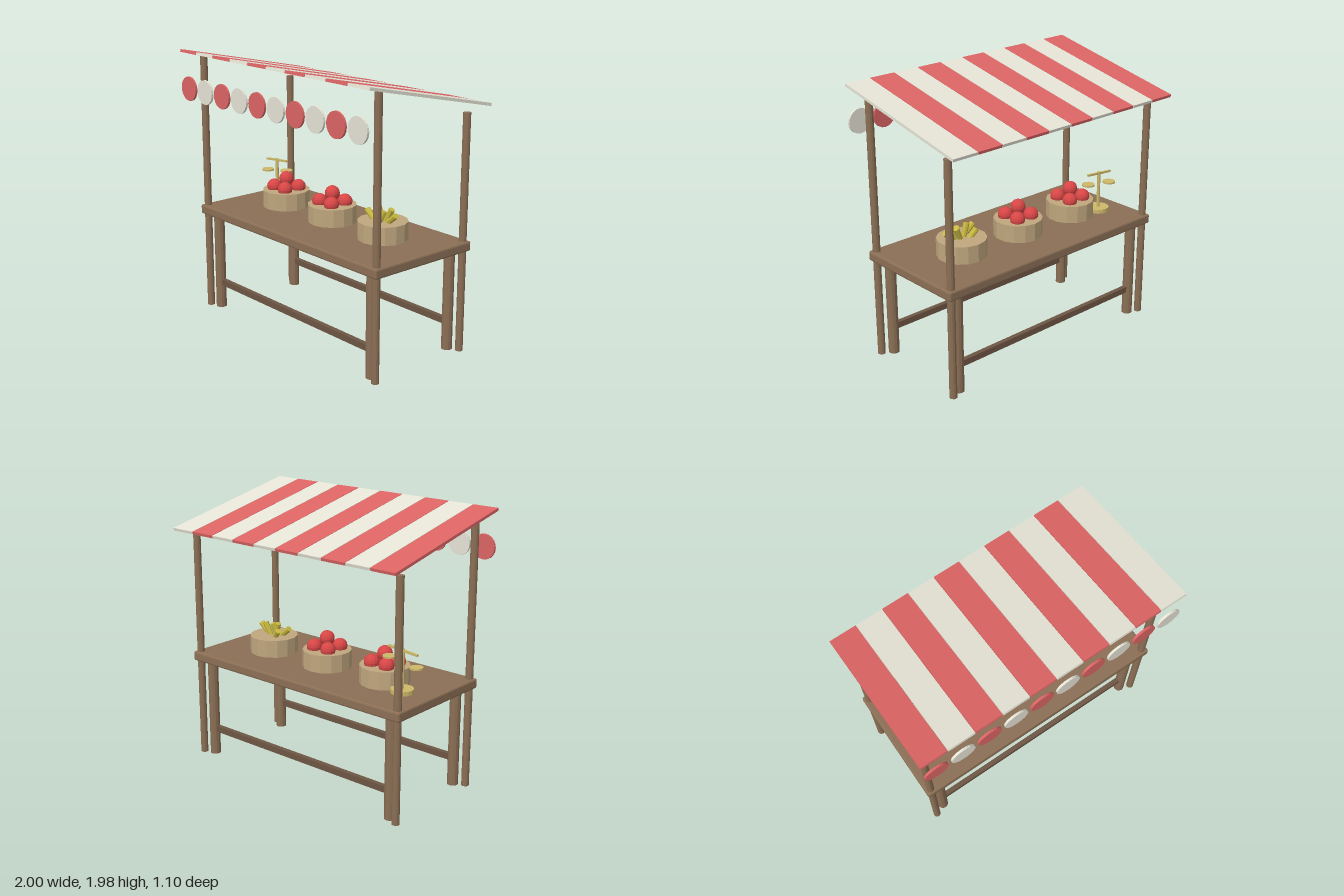
import * as THREE from 'three';
import { RoundedBoxGeometry } from 'three/addons/geometries/RoundedBoxGeometry.js';

const mat = (color) => new THREE.MeshStandardMaterial({ color, flatShading: true });
const wood = mat(0x8b6f55);
const darkWood = mat(0x6e5644);
const red = mat(0xdc6464);
const cream = mat(0xe6e4d6);
const wicker = mat(0xbfa67e);
const fruitRed = mat(0xd84646);
const yellow = mat(0xc9b93f);
const brass = mat(0xcdb86a);

function add(parent, name, geometry, material, x = 0, y = 0, z = 0) {
  const mesh = new THREE.Mesh(geometry, material);
  mesh.name = name;
  mesh.position.set(x, y, z);
  parent.add(mesh);
  return mesh;
}

// Upright cylinder between two heights
function column(parent, name, material, r, y0, y1, x, z, sides = 12) {
  const geometry = new THREE.CylinderGeometry(r, r, y1 - y0, sides);
  return add(parent, name, geometry, material, x, (y0 + y1) / 2, z);
}

function group(parent, name, x = 0, y = 0, z = 0) {
  const g = new THREE.Group();
  g.name = name;
  g.position.set(x, y, z);
  parent.add(g);
  return g;
}

function addTable(parent) {
  const table = group(parent, 'table');
  add(table, 'tableTop', new RoundedBoxGeometry(1.92, 0.07, 0.88, 1, 0.012), wood, 0, 0.765, 0);
  for (const side of [1, -1]) {
    const end = side > 0 ? 'front' : 'back';
    for (const x of [-0.84, 0.84]) column(table, end + 'Leg', wood, 0.039, 0, 0.74, x, side * 0.36);
    add(table, end + 'Stretcher', new THREE.BoxGeometry(1.66, 0.045, 0.035), darkWood, 0, 0.203, side * 0.36);
  }
}

function addAwning(parent) {
  const awning = group(parent, 'awning');
  for (const x of [-0.92, 0.92]) {
    column(awning, 'frontPost', wood, 0.027, 0, 1.925, x, 0.4);
    column(awning, 'backPost', wood, 0.027, 0, 1.685, x, -0.4);
  }
  // Sloping striped roof with a row of hanging discs
  const roof = group(awning, 'roof', 0, 1.847, 0);
  roof.rotation.x = -0.213;
  for (let i = 0; i < 10; i++) {
    const x = -0.9 + i * 0.2;
    const color = i % 2 ? cream : red;
    add(roof, 'roofStripe', new THREE.BoxGeometry(0.196, 0.02, 1.12), color, x);
    const disc = add(awning, 'valanceDisc', new THREE.CylinderGeometry(0.088, 0.088, 0.016, 20), color, x, 1.7, 0.545);
    disc.rotation.x = Math.PI / 2;
  }
}

function addBasket(parent, x) {
  const basket = group(parent, 'basket', x, 0.8, -0.035);
  column(basket, 'basketBody', wicker, 0.176, 0, 0.127, 0, 0, 14);
  return basket;
}

function addFruit(basket) {
  const ball = new THREE.SphereGeometry(0.054, 14, 10);
  for (const x of [-0.064, 0.064])
    for (const z of [-0.064, 0.064]) add(basket, 'fruit', ball, fruitRed, x, 0.148, z);
  add(basket, 'topFruit', ball, fruitRed, 0, 0.207, 0);
}

// Fan of short sticks, each given by its foot and tip
function addSticks(basket) {
  const up = new THREE.Vector3(0, 1, 0);
  const sticks = [
    [-0.02, 0.03, -0.125, 0.185, 0.03],
    [-0.01, 0.0, -0.045, 0.218, 0.0],
    [0.0, 0.045, 0.03, 0.2, 0.02],
    [0.01, -0.01, 0.065, 0.213, -0.02],
    [0.03, 0.01, 0.135, 0.19, 0.01],
    [-0.03, -0.03, -0.09, 0.18, -0.05],
  ];
  for (const [x0, z0, x1, y1, z1] of sticks) {
    const foot = new THREE.Vector3(x0, 0.1, z0);
    const tip = new THREE.Vector3(x1, y1, z1);
    const dir = tip.clone().sub(foot);
    const mid = foot.clone().add(tip).multiplyScalar(0.5);
    const geometry = new THREE.CylinderGeometry(0.022, 0.018, dir.length(), 8);
    const stick = add(basket, 'vegetableStick', geometry, yellow, mid.x, mid.y, mid.z);
    stick.quaternion.setFromUnitVectors(up, dir.normalize());
  }
}

function addScale(parent) {
  const scale = group(parent, 'balanceScale', -0.74, 0.8, -0.12);
  column(scale, 'scaleBase', brass, 0.08, 0, 0.03, 0, 0, 16);
  column(scale, 'scaleColumn', brass, 0.012, 0.03, 0.305, 0, 0, 8);
  const beam = add(scale, 'scaleBeam', new THREE.BoxGeometry(0.24, 0.014, 0.018), brass, 0, 0.293, 0);
  beam.rotation.z = 0.09;
  column(scale, 'leftPan', brass, 0.047, 0.224, 0.236, 0.112, 0, 14);
  column(scale, 'rightPan', brass, 0.047, 0.191, 0.203, -0.112, 0, 14);
}

export function createModel() {
  const stall = new THREE.Group();
  stall.name = 'marketStall';
  addTable(stall);
  addAwning(stall);
  addFruit(addBasket(stall, -0.523));
  addFruit(addBasket(stall, -0.002));
  addSticks(addBasket(stall, 0.52));
  addScale(stall);
  return stall;
}
